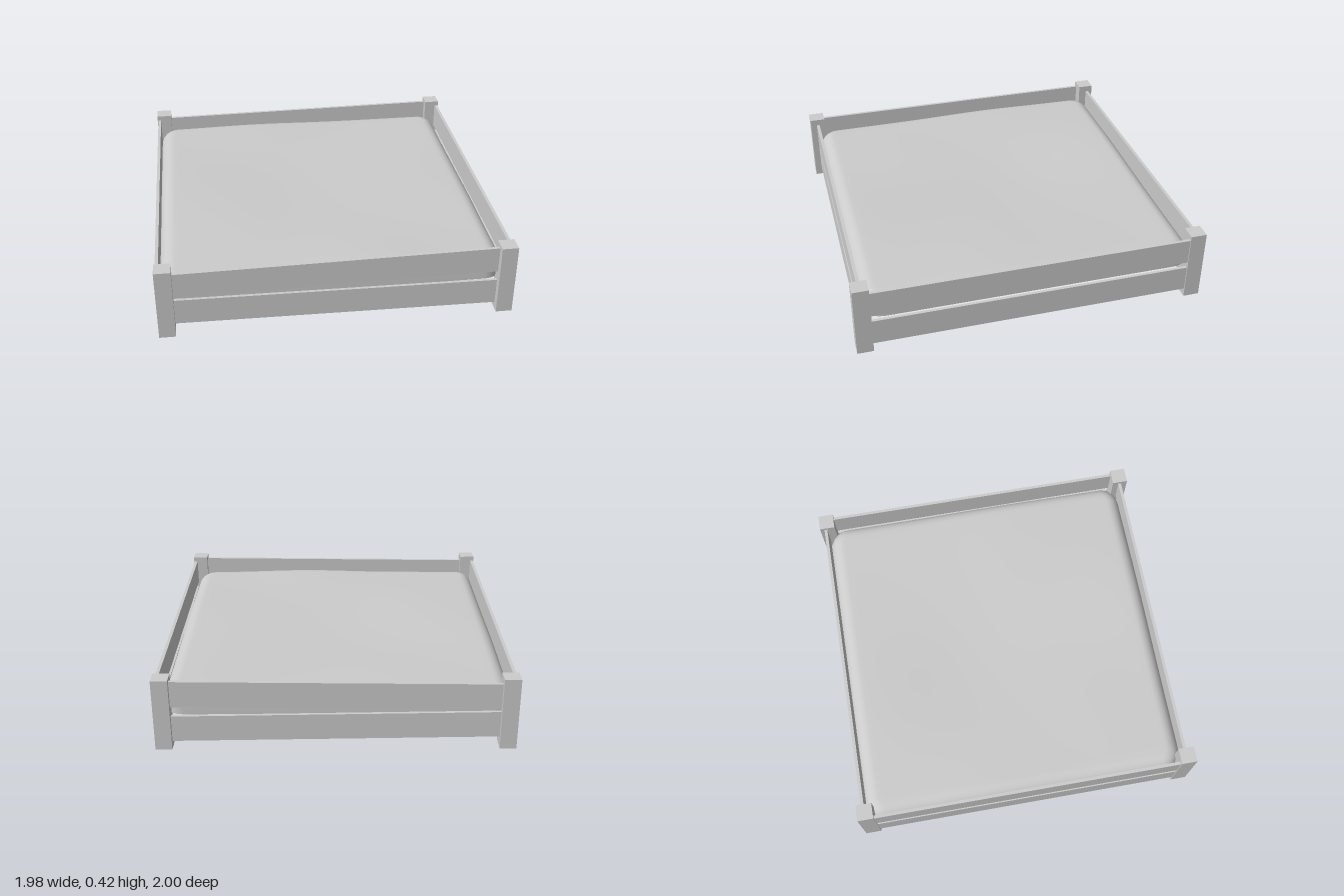
import * as THREE from 'three';

const material = new THREE.MeshStandardMaterial({ color: 0xcccccc });
const sheetMaterial = new THREE.MeshStandardMaterial({ color: 0xcccccc, side: THREE.DoubleSide });

function box(name, w, h, d, x, y, z) {
  const mesh = new THREE.Mesh(new THREE.BoxGeometry(w, h, d), material);
  mesh.name = name;
  mesh.position.set(x, y, z);
  return mesh;
}

// Soft mounds and hollows of the sand surface: x, z, height, radius
const mounds = [
  [0.2, 0.9, 0.016, 0.4], [-0.9, -0.2, 0.012, 0.4], [-0.3, -0.8, 0.012, 0.4],
  [0.8, 0.2, 0.01, 0.4], [-0.05, -0.2, -0.012, 0.45], [-0.5, 0.45, 0.006, 0.3],
];

function sandHeight(x, z) {
  return mounds.reduce((y, [mx, mz, h, r]) =>
    y + h * Math.exp(-((x - mx) ** 2 + (z - mz) ** 2) / (r * r)), 0.319);
}

// Points of a rounded rectangle, running from +x towards +z
function roundedLoop(hx, hz, r, perSide, perCorner) {
  const points = [];
  for (let c = 0; c < 4; c++) {
    const arcPoint = (k, a) => {
      const [sx, sz] = [[1, 1], [-1, 1], [-1, -1], [1, -1]][k % 4];
      return [sx * (hx - r) + r * Math.cos(a), sz * (hz - r) + r * Math.sin(a)];
    };
    for (let i = 0; i < perCorner; i++) {
      points.push(arcPoint(c, (c + i / perCorner) * Math.PI / 2));
    }
    const a = (c + 1) * Math.PI / 2;
    const p = arcPoint(c, a), q = arcPoint(c + 1, a);
    for (let i = 0; i < perSide; i++) {
      const t = i / perSide;
      points.push([p[0] + (q[0] - p[0]) * t, p[1] + (q[1] - p[1]) * t]);
    }
  }
  return points;
}

// Sand: an open shell of loops, wavy on top, rounded over the rim and ending halfway down
function sandGeometry() {
  const hx = 0.955, hz = 0.95, cx = -0.01, cz = -0.005;
  const edge = 0.085, fall = 0.085, rings = 24, arc = 8, rimY = 0.195;
  const loops = [];
  const inner = roundedLoop(hx - edge, hz - edge, 0.03, 24, 6);
  for (let k = 0; k <= rings; k++) {
    const t = Math.max(k / rings, 0.001);
    loops.push(inner.map(([x, z]) => [x * t, sandHeight(x * t, z * t), z * t]));
  }
  for (let k = 1; k <= arc; k++) {
    const a = (k / arc) * Math.PI / 2;
    const inset = edge * (1 - Math.sin(a)), drop = fall * (1 - Math.cos(a));
    loops.push(roundedLoop(hx - inset, hz - inset, 0.115 - inset, 24, 6)
      .map(([x, z]) => [x, sandHeight(x, z) - drop, z]));
  }
  loops.push(loops[loops.length - 1].map(([x, , z]) => [x, rimY, z]));

  const n = inner.length, positions = [], index = [];
  for (const loop of loops) for (const [x, y, z] of loop) positions.push(x + cx, y, z + cz);
  for (let k = 0; k < loops.length - 1; k++) {
    for (let i = 0; i < n; i++) {
      const j = (i + 1) % n;
      const a = k * n + i, b = k * n + j, c = a + n, d = b + n;
      index.push(a, b, c, b, d, c);
    }
  }
  const geometry = new THREE.BufferGeometry();
  geometry.setAttribute('position', new THREE.Float32BufferAttribute(positions, 3));
  geometry.setIndex(index);
  geometry.computeVertexNormals();
  return geometry;
}

export function createModel() {
  const group = new THREE.Group();
  group.name = 'sandbox';

  // Corner posts
  for (const x of [-1, 1]) {
    for (const z of [-1, 1]) {
      group.add(box('cornerPost', 0.092, 0.42, 0.092, x * 0.942, 0.21, z * 0.954));
    }
  }

  // Two boards per side; those at the front and back lean slightly apart towards +x
  for (const [level, y, tilt] of [['lower', 0.126, -0.0115], ['upper', 0.315, 0.0115]]) {
    for (const [side, z] of [['Front', 0.953], ['Back', -0.965]]) {
      const board = box(level + side + 'Board', 1.84, 0.152, 0.018, 0, y, z);
      board.rotation.z = tilt;
      group.add(board);
    }
    for (const [side, x] of [['Left', 0.973], ['Right', -0.974]]) {
      group.add(box(level + side + 'Board', 0.018, 0.152, 1.83, x, y, 0));
    }
  }

  const sand = new THREE.Mesh(sandGeometry(), sheetMaterial);
  sand.name = 'sand';
  group.add(sand);
  return group;
}
